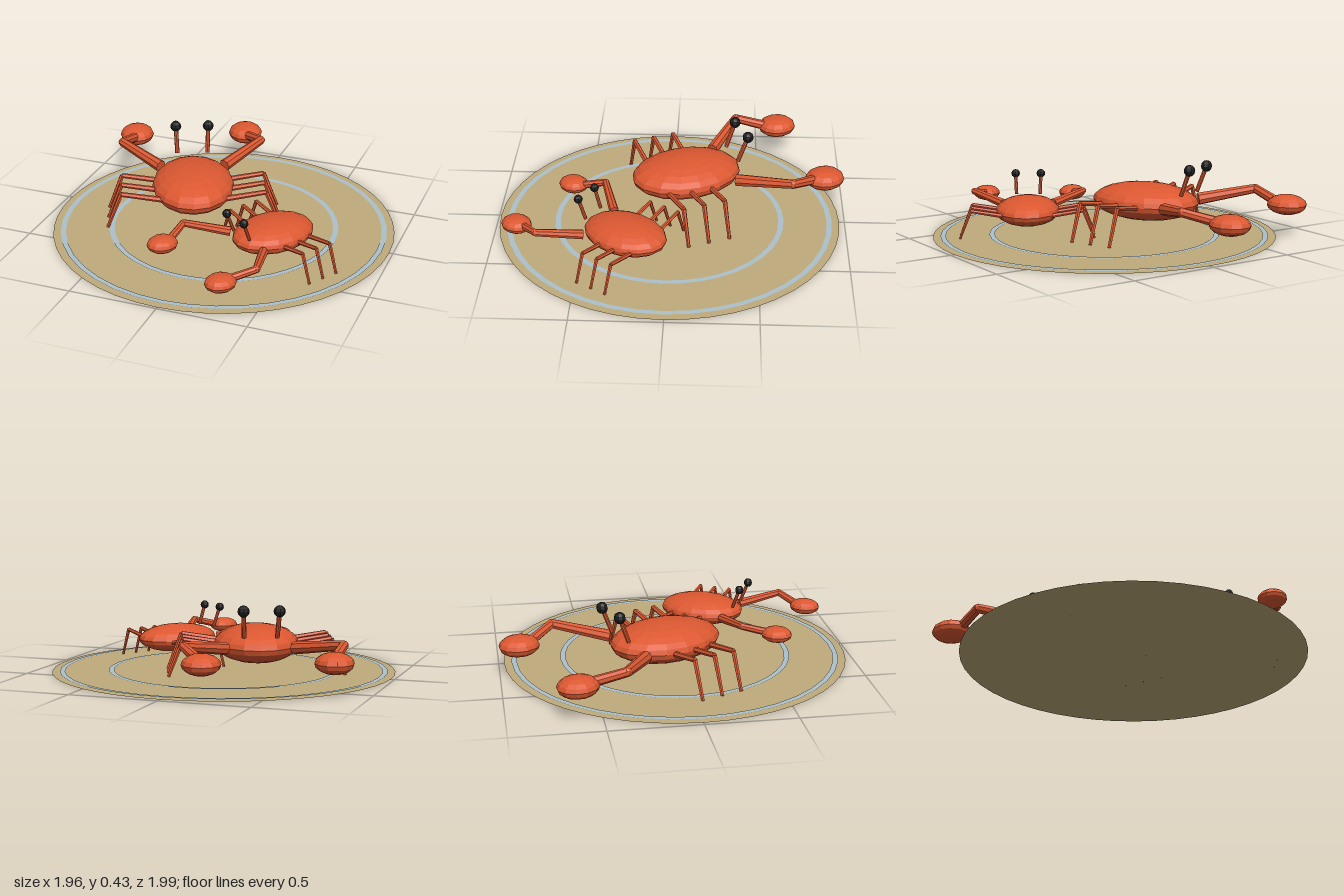
import * as THREE from 'three';

const flat = (name, color) => {
  const m = new THREE.MeshStandardMaterial({ color, flatShading: true });
  m.name = name;
  return m;
};

export function createModel() {
  const model = new THREE.Group();
  model.name = 'crabsOnSand';

  const shell = flat('shell orange red', 0xdc5831);
  const black = flat('eye black', 0x1c1c1c);
  const sand = flat('sand', 0xbfab7b);
  const water = flat('pale blue', 0xadc1cb);
  sand.side = water.side = THREE.DoubleSide;

  function add(parent, name, geometry, material) {
    const mesh = new THREE.Mesh(geometry, material);
    mesh.name = name;
    parent.add(mesh);
    return mesh;
  }

  // Tapered round rod between two points
  function rod(parent, name, from, to, r0, r1, sides = 8) {
    const a = new THREE.Vector3(...from), b = new THREE.Vector3(...to);
    const dir = b.clone().sub(a);
    const mesh = add(parent, name, new THREE.CylinderGeometry(r1, r0, dir.length(), sides), shell);
    mesh.position.copy(a).add(b).multiplyScalar(0.5);
    mesh.quaternion.setFromUnitVectors(new THREE.Vector3(0, 1, 0), dir.normalize());
  }

  function ball(parent, name, at, size, material, w = 8, h = 6) {
    const mesh = add(parent, name, new THREE.SphereGeometry(1, w, h), material);
    mesh.position.set(...at);
    mesh.scale.set(...size);
    return mesh;
  }

  // One crab facing +z, standing on y = 0
  function crab(name) {
    const g = new THREE.Group();
    g.name = name;
    ball(g, 'body', [0, 0.18, 0], [0.238, 0.106, 0.326], shell, 16, 12);

    for (const s of [-1, 1]) {
      const side = s > 0 ? 'left' : 'right';

      // Eye on a stalk
      rod(g, side + 'EyeStalk', [s * 0.09, 0.25, 0.288], [s * 0.097, 0.4, 0.345], 0.013, 0.013);
      ball(g, side + 'Eye', [s * 0.097, 0.4, 0.345], [0.033, 0.033, 0.033], black);

      // Arm and claw
      const elbow = [s * 0.423, 0.235, 0.49];
      rod(g, side + 'UpperArm', [s * 0.19, 0.185, 0.241], elbow, 0.036, 0.027);
      ball(g, side + 'Elbow', elbow, [0.026, 0.026, 0.026], shell);
      rod(g, side + 'Forearm', elbow, [s * 0.35, 0.19, 0.66], 0.026, 0.029);
      ball(g, side + 'Claw', [s * 0.341, 0.18, 0.734], [0.104, 0.058, 0.116], shell, 12, 8);

      // Three jointed legs
      [0.072, -0.053, -0.175].forEach((z, i) => {
        const knee = [s * 0.415, 0.21, z];
        rod(g, side + 'Thigh' + (i + 1), [s * 0.17, 0.17, z], knee, 0.017, 0.014, 6);
        rod(g, side + 'Shin' + (i + 1), knee, [s * 0.495, 0.004, z], 0.014, 0.01, 6);
      });
    }
    return g;
  }

  // Flat sand disc with two pale rings
  const ground = add(model, 'sandDisc', new THREE.CircleGeometry(0.98, 48), sand);
  ground.rotation.x = -Math.PI / 2;
  ground.position.set(0, 0.002, 0.01);
  [['innerRing', 0.63, 0.66], ['outerRing', 0.908, 0.938]].forEach(([name, r0, r1]) => {
    const ring = add(model, name, new THREE.RingGeometry(r0, r1, 40), water);
    ring.rotation.x = -Math.PI / 2;
    ring.position.set(0, 0.006, 0.01);
  });

  // Large crab facing the back, small crab facing the front
  const large = crab('largeCrab');
  large.position.set(-0.225, 0, -0.08);
  large.rotation.y = THREE.MathUtils.degToRad(202.8);
  model.add(large);

  const small = crab('smallCrab');
  small.position.set(0.376, 0, 0.238);
  small.rotation.y = THREE.MathUtils.degToRad(-32);
  small.scale.setScalar(0.765);
  model.add(small);

  return model;
}
